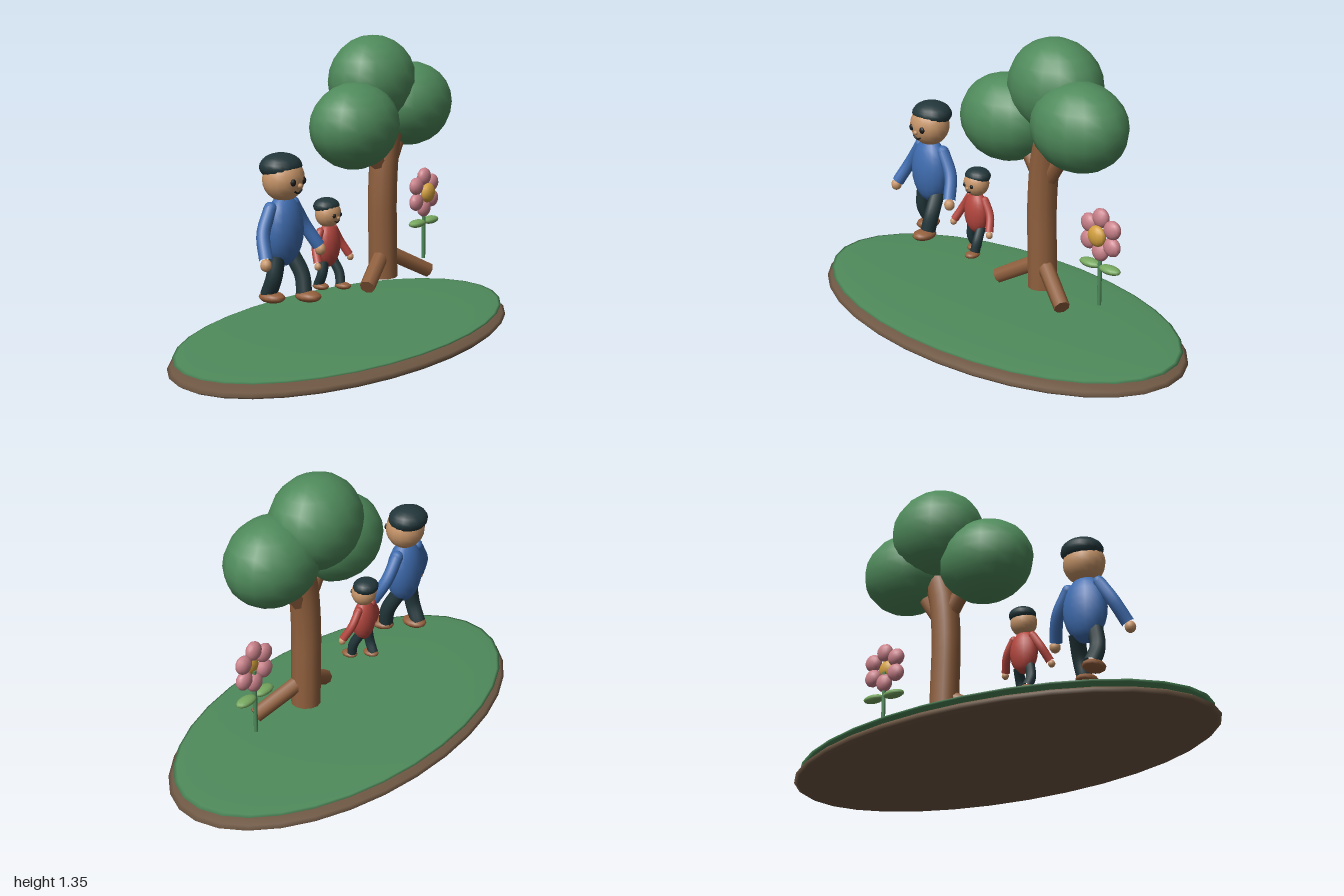
import * as THREE from 'three';

const mat = (color) => new THREE.MeshStandardMaterial({ color });
const M = {
  grass: mat(0x4f8a5b), dirt: mat(0x6f5844), bark: mat(0x8f5f3d), leaf: mat(0x77a860),
  petal: mat(0xc9818a), pollen: mat(0xd3a03f), skin: mat(0xc8966a), dark: mat(0x22363a),
  shoe: mat(0x945f3c), blue: mat(0x3f6db0), red: mat(0xb5473f), ink: mat(0x1c1c1c),
};

function add(parent, name, geometry, material) {
  const mesh = new THREE.Mesh(geometry, material);
  mesh.name = name;
  parent.add(mesh);
  return mesh;
}

// Ellipsoid with centre p and radii r
function blob(parent, name, material, p, r, w = 16, h = 12) {
  const mesh = add(parent, name, new THREE.SphereGeometry(1, w, h), material);
  mesh.position.set(...p);
  mesh.scale.set(...r);
  return mesh;
}

// Straight cylinder from a to b
function rod(parent, name, material, a, b, ra, rb, sides = 8) {
  const A = new THREE.Vector3(...a), B = new THREE.Vector3(...b);
  const mesh = add(parent, name, new THREE.CylinderGeometry(rb, ra, A.distanceTo(B), sides), material);
  mesh.position.copy(A).lerp(B, 0.5);
  mesh.quaternion.setFromUnitVectors(new THREE.Vector3(0, 1, 0), B.sub(A).normalize());
  return mesh;
}

// Curved tube through points
function bend(parent, name, material, points, r, sides = 10) {
  const curve = new THREE.CatmullRomCurve3(points.map((p) => new THREE.Vector3(...p)));
  return add(parent, name, new THREE.TubeGeometry(curve, 12, r, sides), material);
}

// Walking person, feet on local y = 0
function person(name, shirt) {
  const g = new THREE.Group();
  g.name = name;
  blob(g, 'torso', shirt, [0, 0.3, 0], [0.1, 0.15, 0.07]);
  blob(g, 'head', M.skin, [0, 0.513, 0], [0.092, 0.092, 0.085]);
  blob(g, 'hair', M.dark, [0, 0.563, -0.014], [0.094, 0.056, 0.085]);
  blob(g, 'nose', M.skin, [0, 0.492, 0.084], [0.011, 0.011, 0.011], 8, 6);
  bend(g, 'smile', M.ink, [[-0.026, 0.473, 0.074], [0, 0.461, 0.075], [0.026, 0.473, 0.074]], 0.004, 6);
  for (const s of [-1, 1]) {
    const z = s > 0 ? 0.065 : -0.045; // left foot steps forward
    blob(g, 'eye', M.ink, [s * 0.034, 0.509, 0.076], [0.014, 0.015, 0.01], 10, 8);
    bend(g, 'arm', shirt, [[s * 0.075, 0.4, -0.01], [s * 0.135, 0.305, 0], [s * 0.175, 0.21, 0.045]], 0.028);
    blob(g, 'shoulder', shirt, [s * 0.075, 0.4, -0.01], [0.028, 0.028, 0.028], 10, 8);
    blob(g, 'hand', M.skin, [s * 0.182, 0.193, 0.05], [0.024, 0.026, 0.024], 10, 8);
    bend(g, 'leg', M.dark, [[s * 0.045, 0.2, 0], [s * 0.058, 0.11, z * 0.5 + 0.015], [s * 0.05, 0.03, z]], 0.034);
    blob(g, 'shoe', M.shoe, [s * 0.05, 0.024, z + 0.02], [0.046, 0.024, 0.06], 12, 8);
  }
  return g;
}

function tree() {
  const g = new THREE.Group();
  g.name = 'tree';
  // Trunk with a closed foot
  bend(g, 'trunk', M.bark, [[0.28, 0.27, 0], [0.275, 0.45, 0], [0.272, 0.65, 0], [0.29, 0.85, 0], [0.34, 1.03, 0]], 0.064, 12);
  const foot = add(g, 'trunkFoot', new THREE.CircleGeometry(0.064, 12), M.bark);
  foot.rotation.x = Math.PI / 2;
  foot.position.set(0.28, 0.271, 0);
  // Branches and roots
  rod(g, 'branch', M.bark, [0.28, 0.74, 0], [0.12, 0.95, 0], 0.04, 0.03);
  rod(g, 'branch', M.bark, [0.29, 0.74, 0], [0.45, 0.97, 0], 0.04, 0.03);
  rod(g, 'root', M.bark, [0.28, 0.39, 0], [0.07, 0.27, 0.06], 0.036, 0.034);
  rod(g, 'root', M.bark, [0.28, 0.39, 0], [0.495, 0.27, 0.1], 0.036, 0.034);
  // Crown
  blob(g, 'crown', M.grass, [0.06, 0.975, 0], [0.22, 0.187, 0.182]);
  blob(g, 'crown', M.grass, [0.28, 1.145, -0.063], [0.217, 0.2, 0.183]);
  blob(g, 'crown', M.grass, [0.48, 1.028, 0], [0.22, 0.187, 0.182]);
  return g;
}

function flower() {
  const g = new THREE.Group();
  g.name = 'flower';
  rod(g, 'stem', M.grass, [0, 0.29, 0], [0, 0.58, 0], 0.009, 0.009);
  for (let i = 0; i < 6; i++) {
    const a = Math.PI / 2 + (i * Math.PI) / 3;
    const petal = blob(g, 'petal', M.petal, [0.073 * Math.cos(a), 0.6 + 0.073 * Math.sin(a), 0], [0.042, 0.04, 0.028], 12, 10);
    petal.rotation.z = a;
  }
  blob(g, 'flowerCentre', M.pollen, [0, 0.6, 0.022], [0.045, 0.045, 0.027], 12, 10);
  for (const s of [-1, 1]) {
    blob(g, 'leaf', M.leaf, [s * 0.055, 0.462, 0], [0.055, 0.018, 0.03], 12, 8);
  }
  return g;
}

export function createModel() {
  const root = new THREE.Group();
  root.name = 'parkScene';

  // Island
  blob(root, 'soil', M.dirt, [0, 0.06, 0], [1, 0.06, 0.545], 32, 16);
  blob(root, 'lawn', M.grass, [0, 0.106, 0], [0.975, 0.018, 0.525], 32, 16);

  // Figures
  const adult = person('adult', M.blue);
  adult.position.set(-0.44, 0.307, 0);
  const child = person('child', M.red);
  child.scale.setScalar(0.64);
  child.position.set(-0.135, 0.297, 0);

  const bloom = flower();
  bloom.position.x = 0.61;
  root.add(adult, child, tree(), bloom);
  return root;
}
